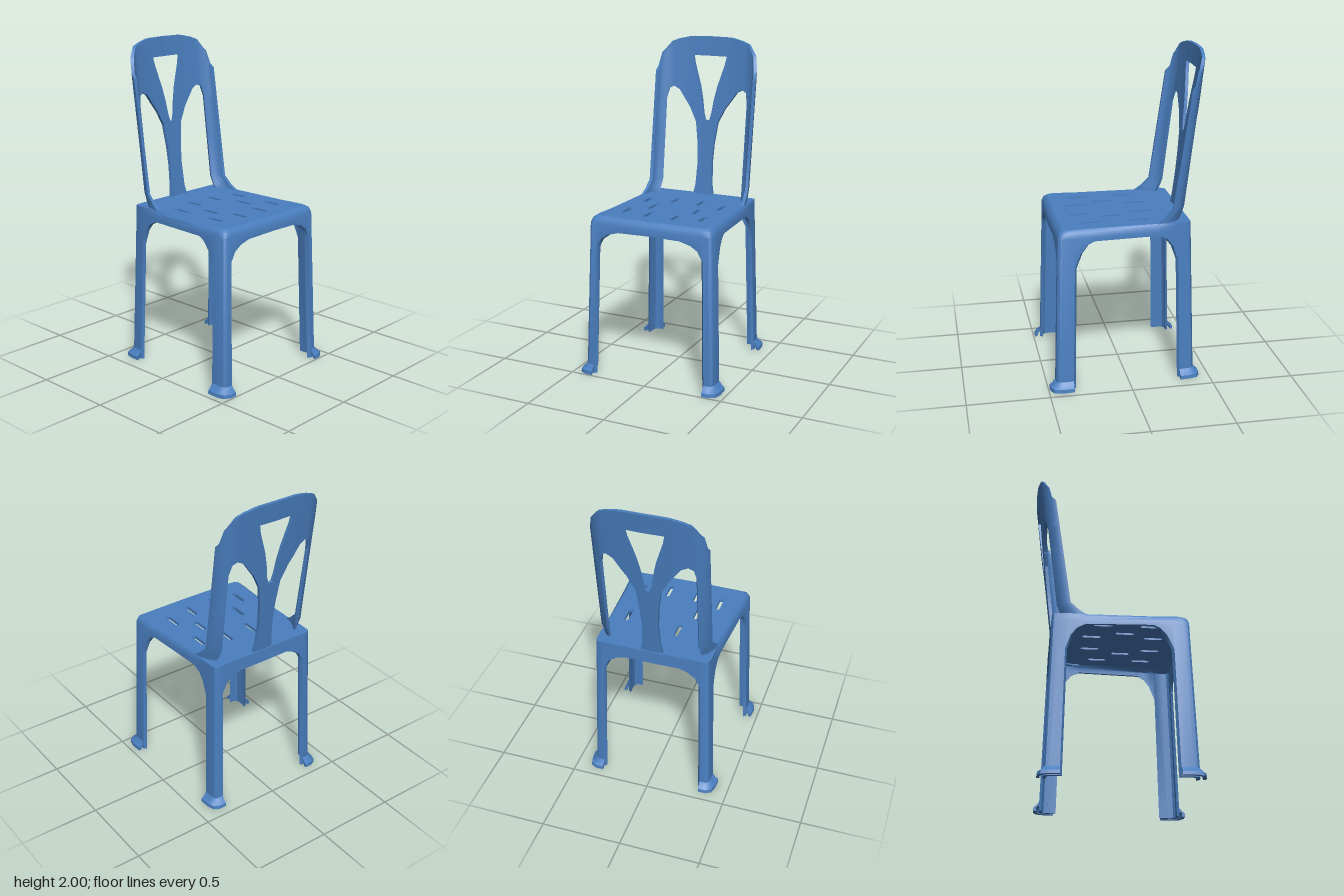
import * as THREE from 'three';
import { toCreasedNormals } from 'three/addons/utils/BufferGeometryUtils.js';

const plastic = new THREE.MeshStandardMaterial({ color: 0x4a7fc0 });
plastic.name = 'blue plastic';

// Piecewise linear lookup: rows are [key, value, value...]
function lookup(table, key) {
  let i = 1;
  while (i < table.length - 1 && key > table[i][0]) i++;
  const a = table[i - 1], b = table[i];
  const t = THREE.MathUtils.clamp((key - a[0]) / (b[0] - a[0]), 0, 1);
  return a.slice(1).map((v, j) => v + (b[j + 1] - v) * t);
}

// Closed sheet between an outer and an inner grid of points (rows go up, columns go right seen from outside)
function slab(name, rows, cols, point) {
  const pos = [];
  const tri = (a, b, c) => {
    const area = b.clone().sub(a).cross(c.clone().sub(a)).length();
    if (area > 1e-7) for (const p of [a, b, c]) pos.push(p.x, p.y, p.z);
  };
  const quad = (a, b, c, d) => { tri(a, b, c); tri(a, c, d); };
  const grid = (inner) => Array.from({ length: rows }, (_, r) =>
    Array.from({ length: cols }, (_, c) => new THREE.Vector3(...point(r, c, inner))));
  const O = grid(false), I = grid(true), R = rows - 1, C = cols - 1;
  for (let r = 0; r < R; r++) {
    for (let c = 0; c < C; c++) {
      quad(O[r][c], O[r][c + 1], O[r + 1][c + 1], O[r + 1][c]);
      quad(I[r][c], I[r + 1][c], I[r + 1][c + 1], I[r][c + 1]);
    }
    quad(O[r][0], O[r + 1][0], I[r + 1][0], I[r][0]);
    quad(O[r][C], I[r][C], I[r + 1][C], O[r + 1][C]);
  }
  for (let c = 0; c < C; c++) {
    quad(O[0][c + 1], O[0][c], I[0][c], I[0][c + 1]);
    quad(O[R][c], O[R][c + 1], I[R][c + 1], I[R][c]);
  }
  const geo = new THREE.BufferGeometry();
  geo.setAttribute('position', new THREE.Float32BufferAttribute(pos, 3));
  const mesh = new THREE.Mesh(toCreasedNormals(geo, 0.65), plastic);
  mesh.name = name;
  return mesh;
}

// Half outline of the frame at seat height, front centre to rear centre: [x, z, lower edge]
const half = [
  [0, 0.432, 0.92], [0.2, 0.428, 0.915], [0.27, 0.427, 0.895], [0.315, 0.426, 0.865], [0.345, 0.425, 0.81],
  [0.345, 0.425, 0], [0.38, 0.423, 0], [0.395, 0.41, 0], [0.4, 0.385, 0], [0.397, 0.325, 0],
  [0.397, 0.325, 0.77], [0.394, 0.29, 0.86], [0.391, 0.25, 0.91], [0.388, 0.21, 0.93],
  [0.366, -0.18, 0.93], [0.363, -0.23, 0.905], [0.361, -0.265, 0.86], [0.359, -0.295, 0.77],
  [0.359, -0.295, 0], [0.356, -0.345, 0], [0.351, -0.368, 0], [0.336, -0.379, 0], [0.3, -0.38, 0],
  [0.3, -0.38, 0.81], [0.27, -0.38, 0.87], [0.22, -0.38, 0.905], [0.17, -0.38, 0.92], [0, -0.382, 0.92],
];
const outline = [...half, ...half.slice(0, -1).reverse().map(([x, z, y]) => [-x, z, y])];
const splay = (y) => 1 + 0.075 * (1 - y);

// Rounded rim, fading out towards the backrest
function rim(x, z, inset) {
  const k = 1 - inset * THREE.MathUtils.clamp((z + 0.3) / 0.25, 0, 1);
  return [x * k, z * k];
}

// Apron and four angle-section legs in one sheet
function buildFrame() {
  const rims = [[0.955, 0], [0.985, 0.025], [1, 0.075]];
  return slab('apronAndLegs', 4, outline.length, (r, c, inner) => {
    const [x, z, low] = outline[c];
    const [y, inset] = r ? rims[r - 1] : [low, 0];
    const [px, pz] = rim(x, z, inset);
    const k = splay(y) * (inner ? 0.96 : 1);
    return [px * k, inner && r > 1 ? y - 0.018 : y, pz * k];
  });
}

// Flared foot around the bottom of each leg: columns are [x, z, outward x, outward z]
function buildFoot(name, side, columns) {
  const rings = [[0, 1], [0.022, 0.95], [0.035, 0.5], [0.055, 0.05]];
  const cols = side > 0 ? columns : [...columns].reverse();
  return slab(name, rings.length, cols.length, (r, c, inner) => {
    const [x, z, nx, nz] = cols[c], [y, f] = rings[r];
    const out = 0.035 * f - (inner ? 0.018 : 0);
    return [side * (x * splay(y) + nx * out), y, z * splay(y) + nz * out];
  });
}

// Slotted seat deck
function buildSeat() {
  const shape = new THREE.Shape(outline.slice(0, -1)
    .filter(([x, z], i) => !i || x !== outline[i - 1][0] || z !== outline[i - 1][1])
    .map(([x, z]) => { const [a, b] = rim(x, z, 0.075); return new THREE.Vector2(a, -b); }));
  const slots = [[0.252, -0.07], [0.087, -0.127], [0.147, 0.07], [0.252, 0.21], [0.09, 0.25]];
  for (const [sx, z] of slots) for (const x of [sx, -sx]) {
    const w = 0.0125, h = 0.046, hole = new THREE.Path();
    hole.absarc(x, -z + h, w, 0, Math.PI);
    hole.absarc(x, -z - h, w, Math.PI, 2 * Math.PI);
    hole.closePath();
    shape.holes.push(hole);
  }
  const geo = new THREE.ExtrudeGeometry(shape, { depth: 0.02, bevelEnabled: false, curveSegments: 4 });
  geo.rotateX(-Math.PI / 2).translate(0, 0.98, 0);
  const seat = new THREE.Mesh(geo, plastic);
  seat.name = 'seat';
  return seat;
}

// Backrest section: [x, forward bend, inner offset x, inner offset z]
const section = [[0, 0, 0, 0.02], [0.15, 0.005, 0, 0.02], [0.27, 0.02, -0.006, 0.019],
  [0.315, 0.04, -0.014, 0.015], [0.34, 0.065, -0.02, 0.006], [0.345, 0.09, -0.02, 0]];
// By height: bend factor and width factor
const flare = [[0.97, 2.17, 1.035], [1, 2.17, 1.03], [1.03, 1.75, 1.015], [1.08, 1.25, 1], [1.78, 1, 1], [2, 1, 1]];

function backPoint(x, y, inner) {
  const [bend, dx, dz] = lookup(section, Math.abs(x));
  const [k, w] = lookup(flare, y);
  const px = Math.abs(x) * w + (inner ? dx : 0);
  return [Math.sign(x) * px, y, -0.375 - 0.113 * (y - 1) + bend * k + (inner ? dz : 0)];
}

const crownTop = [[0, 2], [0.14, 1.998], [0.22, 1.98], [0.27, 1.962], [0.325, 1.89], [0.345, 1.78]];
const crownLow = [[0, 1.46], [0.075, 1.46], [0.12, 1.55], [0.2, 1.66], [0.24, 1.68], [0.27, 1.665], [0.285, 1.6], [0.345, 1.6]];
const holeLow = [[0, 1.47], [0.015, 1.475], [0.028, 1.52], [0.04, 1.6], [0.06, 1.69], [0.105, 1.83], [0.115, 1.88]];

// Backrest panel between two height curves
function panel(name, xs, low, high) {
  return slab(name, 4, xs.length, (r, c, inner) => {
    const a = Math.abs(xs[c]), y0 = lookup(low, a)[0], y1 = lookup(high, a)[0];
    return backPoint(xs[c], y0 + (y1 - y0) * r / 3, inner);
  });
}

function buildBack() {
  const back = new THREE.Group();
  back.name = 'backrest';
  const wing = [0.345, 0.34, 0.325, 0.315, 0.285, 0.27, 0.24, 0.22, 0.2, 0.15, 0.12, 0.115];
  const post = [0.345, 0.34, 0.315, 0.285];
  const mid = [0.115, 0.105, 0.075, 0.06, 0.04, 0.028, 0.015];
  const mirror = (xs) => xs.map((x) => -x).reverse();
  const middle = [...mid, 0, ...mirror(mid)];
  const holeTop = [[0, 1.88], [1, 1.88]];
  back.add(panel('topRail', middle, holeTop, crownTop), panel('splatFork', middle, crownLow, holeLow));
  const postRows = [0.97, 1, 1.03, 1.08, 1.35, 1.6];
  for (const [label, flip] of [['left', (xs) => xs], ['right', mirror]]) {
    back.add(panel(label + 'Crown', flip(wing), crownLow, crownTop));
    const xs = flip(post);
    back.add(slab(label + 'Post', postRows.length, xs.length, (r, c, inner) => backPoint(xs[c], postRows[r], inner)));
  }
  // Central splat with a narrow waist: [height, half width]
  const splat = [[0.97, 0.07], [1, 0.066], [1.06, 0.056], [1.2, 0.05], [1.32, 0.056], [1.46, 0.075]];
  back.add(slab('splat', splat.length, 3, (r, c, inner) => backPoint((1 - c) * splat[r][1], splat[r][0], inner)));
  return back;
}

export function createModel() {
  const chair = new THREE.Group();
  chair.name = 'chair';
  chair.add(buildFrame(), buildSeat(), buildBack());
  const front = [[0.345, 0.425, 0, 1], [0.38, 0.423, 0.25, 1], [0.395, 0.41, 0.8, 0.8], [0.4, 0.385, 1, 0.25], [0.397, 0.325, 1, 0]];
  const rear = [[0.359, -0.295, 1, 0], [0.356, -0.345, 1, -0.2], [0.351, -0.368, 0.8, -0.8], [0.336, -0.379, 0.25, -1], [0.3, -0.38, 0, -1]];
  for (const [label, side] of [['left', 1], ['right', -1]]) {
    chair.add(buildFoot(label + 'FrontFoot', side, front), buildFoot(label + 'RearFoot', side, rear));
  }
  return chair;
}
